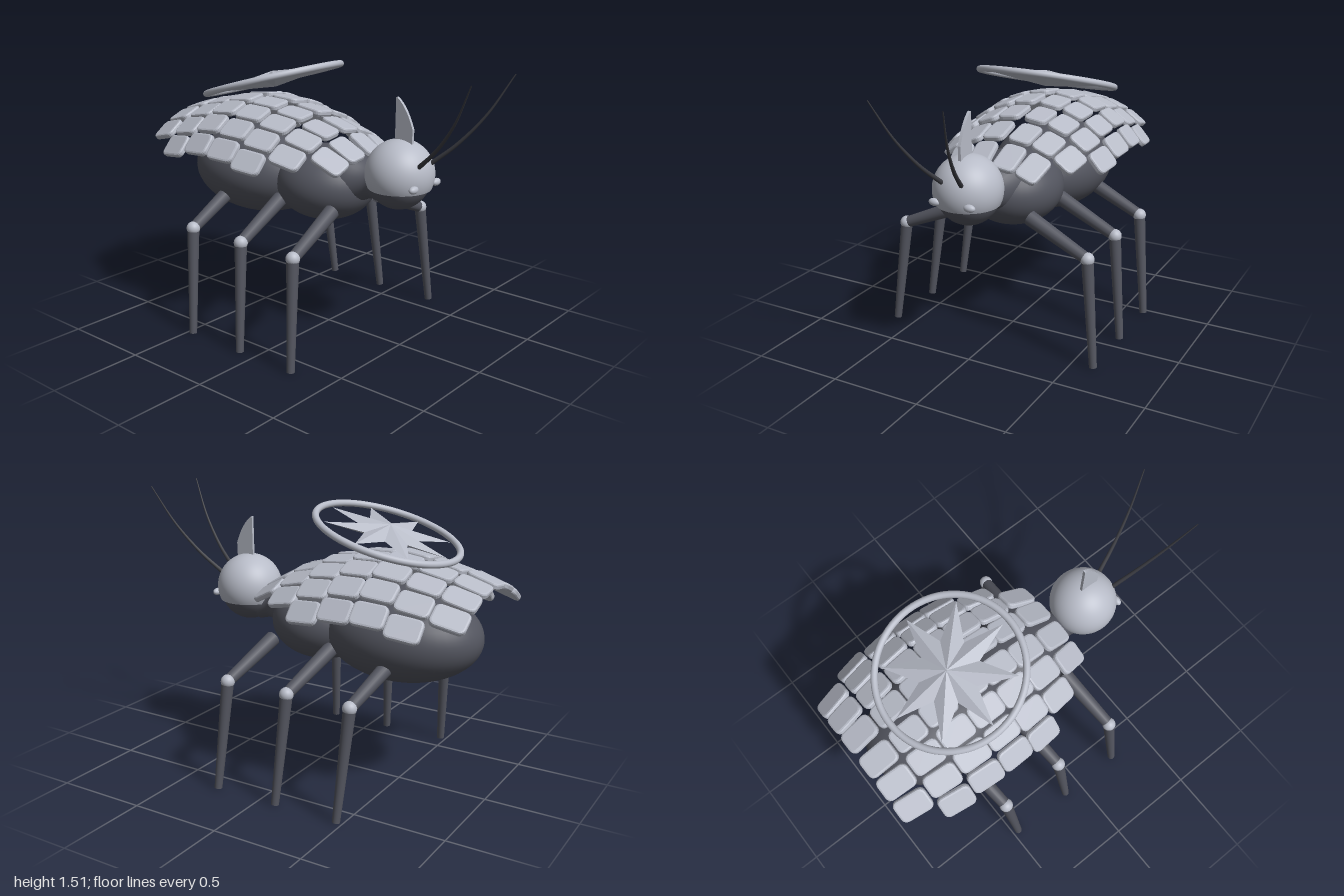
import * as THREE from 'three';

const mat = (name, color) => {
  const m = new THREE.MeshStandardMaterial({ color });
  m.name = name;
  return m;
};

export function createModel() {
  const shell = mat('pale steel', 0xb8bcc8);
  const dark = mat('dark slate', 0x53555f);
  const black = mat('antenna charcoal', 0x3a3b41);
  const root = new THREE.Group();
  root.name = 'armouredBeetle';

  const add = (name, geo, material, pos = [0, 0, 0], parent = root) => {
    const m = new THREE.Mesh(geo, material);
    m.name = name;
    m.position.set(...pos);
    parent.add(m);
    return m;
  };
  const ellipsoid = (rx, ry, rz) => new THREE.SphereGeometry(1, 48, 32).scale(rx, ry, rz);

  // Tapered rod from point a (radius ra) to point b (radius rb)
  const rod = (name, a, b, ra, rb, material, parent) => {
    const d = b.clone().sub(a);
    const m = add(name, new THREE.CylinderGeometry(rb, ra, d.length(), 20), material, [0, 0, 0], parent);
    m.position.copy(a).add(b).multiplyScalar(0.5);
    m.quaternion.setFromUnitVectors(new THREE.Vector3(0, 1, 0), d.normalize());
  };

  // Body
  add('abdomen', ellipsoid(0.326, 0.248, 0.435), dark, [0, 0.832, -0.5]);
  add('thorax', ellipsoid(0.267, 0.205, 0.29), dark, [0, 0.83, -0.02]);
  const neckProfile = new THREE.SplineCurve([
    [0.18, 0.12], [0.14, 0.2], [0.1, 0.27], [0.086, 0.32], [0.1, 0.38],
  ].map(p => new THREE.Vector2(...p))).getPoints(16);
  add('neck', new THREE.LatheGeometry(neckProfile, 32).rotateX(Math.PI / 2), dark, [0, 0.882, 0]);

  // Head with a domed helmet
  add('head', new THREE.SphereGeometry(0.165, 40, 28), dark, [0, 0.937, 0.47]);
  const cut = Math.acos(-0.075 / 0.182);
  add('helmet', new THREE.SphereGeometry(0.182, 48, 28, 0, Math.PI * 2, 0, cut), shell, [0, 0.96, 0.475]);
  add('helmetRim', new THREE.CircleGeometry(0.182 * Math.sin(cut), 48).rotateX(Math.PI / 2), shell, [0, 0.885, 0.475]);

  // Thin upright crest, drawn as (z, y)
  const crest = new THREE.Shape();
  crest.moveTo(0.55, 1.1);
  crest.lineTo(0.553, 1.2);
  crest.quadraticCurveTo(0.515, 1.31, 0.455, 1.355);
  crest.lineTo(0.448, 1.355);
  crest.lineTo(0.445, 1.1);
  add('crest', new THREE.ExtrudeGeometry(crest, { depth: 0.016, bevelEnabled: false })
    .translate(0, 0, -0.008).rotateY(-Math.PI / 2), shell);

  for (const s of [1, -1]) {
    const side = s > 0 ? 'left' : 'right';
    add(side + 'Eye', ellipsoid(0.032, 0.02, 0.02), shell, [s * 0.1, 0.922, 0.632]);

    // Antenna: tube narrowed towards its tip
    const path = new THREE.CatmullRomCurve3([
      [0.055, 1.03, 0.63], [0.095, 1.14, 0.754], [0.145, 1.3, 0.885], [0.2, 1.505, 1],
    ].map(([x, y, z]) => new THREE.Vector3(s * x, y, z)));
    const tube = new THREE.TubeGeometry(path, 24, 0.012, 10);
    const pos = tube.attributes.position;
    const v = new THREE.Vector3();
    for (let i = 0; i < pos.count; i++) {
      const t = Math.floor(i / 11) / 24;
      const c = path.getPointAt(t);
      v.fromBufferAttribute(pos, i).sub(c).multiplyScalar(1 - 0.75 * t).add(c);
      pos.setXYZ(i, v.x, v.y, v.z);
    }
    add(side + 'Antenna', tube, black);

    // Three legs on each side
    [0.23, -0.135, -0.5].forEach((z, i) => {
      const leg = new THREE.Group();
      leg.name = side + ['Front', 'Middle', 'Rear'][i] + 'Leg';
      root.add(leg);
      const hip = new THREE.Vector3(s * 0.2, 0.742, z - 0.045);
      const knee = new THREE.Vector3(s * 0.555, 0.594, z);
      const foot = new THREE.Vector3(s * 0.62, 0.004, z + 0.035);
      rod('upperLeg', hip, knee, 0.042, 0.031, dark, leg);
      rod('lowerLeg', knee, foot, 0.033, 0.021, dark, leg);
      add('knee', new THREE.SphereGeometry(0.037, 24, 16), shell, knee.toArray(), leg);
    });
  }

  // Rounded, bevelled armour plate lying flat
  const w = 0.054, d = 0.08, r = 0.025;
  const outline = new THREE.Shape();
  outline.moveTo(-w + r, -d);
  outline.lineTo(w - r, -d);
  outline.quadraticCurveTo(w, -d, w, -d + r);
  outline.lineTo(w, d - r);
  outline.quadraticCurveTo(w, d, w - r, d);
  outline.lineTo(-w + r, d);
  outline.quadraticCurveTo(-w, d, -w, d - r);
  outline.lineTo(-w, -d + r);
  outline.quadraticCurveTo(-w, -d, -w + r, -d);
  const plateGeo = new THREE.ExtrudeGeometry(outline, {
    depth: 0.016, bevelThickness: 0.009, bevelSize: 0.011, bevelSegments: 2, curveSegments: 5,
  }).translate(0, 0, -0.008).rotateX(-Math.PI / 2);

  // Rows front to back: z, crown height, pitch, plates per side
  const rows = [
    [0.188, 1.055, 0.5, 2], [0.008, 1.138, 0.26, 3], [-0.172, 1.2, 0.12, 4], [-0.355, 1.235, 0.03, 4],
    [-0.54, 1.24, -0.13, 4], [-0.725, 1.2, -0.22, 4], [-0.91, 1.155, -0.3, 3],
  ];
  const R = 0.6;
  rows.forEach(([z, top, pitch, count], n) => {
    const row = new THREE.Group();
    row.name = 'armourRow' + (n + 1);
    row.position.set(0, top - R, z);
    root.add(row);
    for (const s of [1, -1]) for (let i = 0; i < count; i++) {
      const a = THREE.MathUtils.degToRad(7.7 + 13.6 * i);
      const plate = add('armourPlate', plateGeo, shell, [s * R * Math.sin(a), R * Math.cos(a), 0], row);
      plate.rotation.set(pitch, 0, -s * a, 'ZXY');
    }
  });

  // Tilted ring with a faceted eight-pointed star
  const wheel = new THREE.Group();
  wheel.name = 'starWheel';
  wheel.position.set(0, 1.352, -0.402);
  wheel.rotation.x = -0.29;
  root.add(wheel);
  add('ring', new THREE.TorusGeometry(0.384, 0.018, 16, 72).rotateX(Math.PI / 2), shell, [0, 0, 0], wheel);
  const verts = [];
  const rim = i => {
    const a = i * Math.PI / 8, q = i % 2 ? 0.16 : 0.348;
    return [q * Math.sin(a), 0, q * Math.cos(a)];
  };
  for (let i = 0; i < 16; i++) {
    verts.push(0, 0.045, 0, ...rim(i), ...rim(i + 1));
    verts.push(0, -0.045, 0, ...rim(i + 1), ...rim(i));
  }
  const star = new THREE.BufferGeometry();
  star.setAttribute('position', new THREE.Float32BufferAttribute(verts, 3));
  star.computeVertexNormals();
  add('star', star, shell, [0, 0, 0], wheel);

  return root;
}
